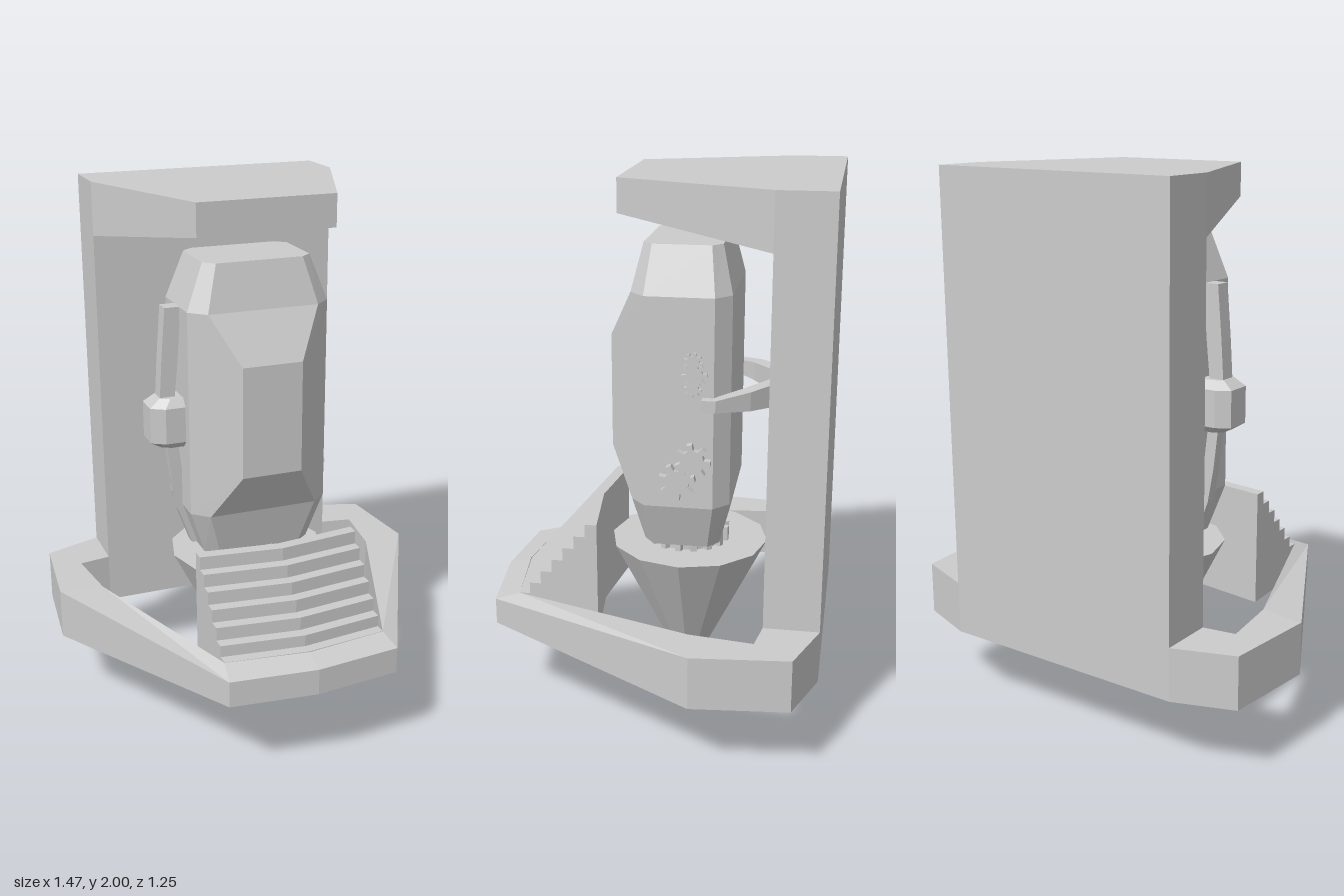
import * as THREE from 'three';

const material = new THREE.MeshStandardMaterial({ color: 0xcccccc, flatShading: true });

function part(group, name, geometry) {
  const mesh = new THREE.Mesh(geometry, material);
  mesh.name = name;
  group.add(mesh);
  return mesh;
}

// Skins a row of closed loops, each counter-clockwise about the direction of travel.
function loft(sections, caps = true) {
  const pos = [];
  const tri = (a, b, c) => pos.push(...a, ...b, ...c);
  const n = sections[0].length;
  for (let s = 0; s + 1 < sections.length; s++) {
    const a = sections[s], b = sections[s + 1];
    for (let i = 0; i < n; i++) {
      const j = (i + 1) % n;
      tri(a[i], a[j], b[j]);
      tri(a[i], b[j], b[i]);
    }
  }
  if (caps) {
    const first = sections[0], last = sections[sections.length - 1];
    for (let i = 1; i + 1 < n; i++) {
      tri(first[0], first[i + 1], first[i]);
      tri(last[0], last[i], last[i + 1]);
    }
  }
  const g = new THREE.BufferGeometry();
  g.setAttribute('position', new THREE.Float32BufferAttribute(pos, 3));
  g.computeVertexNormals();
  return g;
}

// Flat toothed wheel lying in the xy plane.
function gear(radius, teeth, depth, root = 0.68, turn = 0) {
  const pts = [];
  for (let i = 0; i < teeth; i++) {
    for (const [f, r] of [[0, root], [0.42, root], [0.54, 1], [0.88, 1]]) {
      const a = ((i + f) / teeth) * Math.PI * 2 + turn;
      pts.push(new THREE.Vector2(Math.cos(a) * r * radius, Math.sin(a) * r * radius));
    }
  }
  return new THREE.ExtrudeGeometry(new THREE.Shape(pts), { depth, bevelEnabled: false });
}

// Horizontal octagon of the pod: front and side corners mirrored over x.
function podSection(y, frontX, frontZ, sideX, sideZ, backX, backZ, sideBackZ) {
  const half = [[frontX, y, frontZ], [sideX, y, sideZ], [sideX, y, sideBackZ], [backX, y, backZ]];
  return [...half, ...half.map(([x, h, z]) => [-x, h, z]).reverse()];
}

// Horizontal rectangle of a strap.
const strapSection = (y, x0, x1, z0, z1) => [[x1, y, z1], [x1, y, z0], [x0, y, z0], [x0, y, z1]];

export function createModel() {
  const model = new THREE.Group();
  model.name = 'podStation';

  // Back wall and overhanging canopy
  const wall = part(model, 'backWall', new THREE.BoxGeometry(0.96, 1.72, 0.2));
  wall.position.set(0, 1.14, -0.53);
  const canopySection = (x, z, low) => [[-x, low, z], [x, low, z], [x, 2, z], [-x, 2, z]];
  part(model, 'canopy', loft([canopySection(0.48, -0.43, 1.8), canopySection(0.26, 0.12, 1.88)]));

  // Base frame: outer x, outer z, inner x, inner z, outer top, inner top, outer bottom, inner bottom
  const frame = [
    [0.48, -0.63, 0.48, -0.43, 0.475, 0.475, 0.28, 0.28],
    [0.70, -0.55, 0.60, -0.41, 0.475, 0.475, 0.28, 0.28],
    [0.735, -0.2, 0.57, -0.18, 0.475, 0.475, 0.28, 0.28],
    [0.325, 0.59, 0.31, 0.5, 0.43, 0.455, 0.33, 0.323],
    [0, 0.625, 0, 0.54, 0.43, 0.455, 0.33, 0.325],
  ];
  const around = [...frame, ...frame.slice(0, -1).reverse().map((p) => [-p[0], p[1], -p[2], ...p.slice(3)])];
  part(model, 'baseFrame', loft(around.map(([ox, oz, ix, iz, ot, it, ob, ib], i) => {
    const s = i < frame.length ? 1 : -1;
    const innerZ = s < 0 ? around[around.length - 1 - i][3] : iz;
    return [[ix, ib, innerZ], [ox, ob, oz], [ox, ot, oz], [ix, it, innerZ]];
  })));

  // Stairs, bent to a shallow chevron at the middle
  const steps = 6, tread = 0.043, rise = 0.05;
  const profile = [[0.2, 0.305], [0.5, 0.323], [0.5, 0.456], [0.46, 0.456]];
  for (let i = steps - 1; i >= 0; i--) {
    const z = 0.245 + i * tread, y = 0.75 - i * rise;
    profile.push([z, y], [i ? z - tread : 0.2, y]);
  }
  const stairs = new THREE.ExtrudeGeometry(
    new THREE.Shape(profile.map(([z, y]) => new THREE.Vector2(z, y))),
    { depth: 0.62, steps: 2, bevelEnabled: false });
  stairs.rotateY(-Math.PI / 2).translate(0.31, 0, 0);
  const p = stairs.attributes.position;
  for (let i = 0; i < p.count; i++) {
    p.setZ(i, p.getZ(i) + 0.037 * (1 - Math.abs(p.getX(i)) / 0.31));
  }
  stairs.computeVertexNormals();
  part(model, 'stairs', stairs);

  // Pointed pedestal and toothed turntable
  const cone = part(model, 'pedestalCone', new THREE.CylinderGeometry(0.3, 0, 0.6, 12));
  cone.position.set(0, 0.3, -0.1);
  const turntable = part(model, 'turntable', gear(0.158, 16, 0.06, 0.87).rotateX(-Math.PI / 2));
  turntable.position.set(0, 0.595, -0.095);

  // Faceted pod with a raised front
  part(model, 'pod', loft([
    podSection(0.65, 0.16, 0.045, 0.21, 0.005, 0.16, -0.235, -0.195),
    podSection(0.825, 0.21, 0.085, 0.27, 0.03, 0.21, -0.275, -0.22),
    podSection(1.0, 0.115, 0.175, 0.27, 0.03, 0.21, -0.275, -0.22),
    podSection(1.42, 0.115, 0.175, 0.27, 0.03, 0.21, -0.275, -0.22),
    podSection(1.6, 0.21, 0.085, 0.27, 0.03, 0.21, -0.275, -0.22),
    podSection(1.77, 0.165, 0.045, 0.205, 0.01, 0.165, -0.235, -0.2),
  ]));

  // Gears on the pod's left flank: y, z, radius, teeth, depth, turn
  const gears = [
    [1.01, -0.148, 0.066, 7, 0.032, 0.2], [0.93, -0.092, 0.068, 7, 0.032, 0.5],
    [1.375, -0.147, 0.034, 8, 0.018, 0], [1.325, -0.153, 0.046, 8, 0.018, 0.3], [1.277, -0.147, 0.032, 8, 0.018, 0.1],
  ];
  for (const [y, z, r, teeth, depth, turn] of gears) {
    const wheel = part(model, 'gear', gear(r, teeth, depth, 0.66, turn).rotateY(Math.PI / 2));
    wheel.position.set(0.267, y, z);
  }

  // Claw arms from the wall: outer x, outer z, inner x, inner z, half height
  const claw = loft([
    [0.12, -0.43, 0.02, -0.43, 0.043],
    [0.22, -0.345, 0.17, -0.32, 0.035],
    [0.305, -0.23, 0.27, -0.215, 0.022],
    [0.308, -0.18, 0.268, -0.18, 0.022],
  ].map(([ox, oz, ix, iz, h]) => [
    [ix, 1.223 - h, iz], [ox, 1.223 - h, oz], [ox, 1.223 + h, oz], [ix, 1.223 + h, iz]]));
  for (const side of [1, -1]) part(model, 'clawArm', claw).scale.x = side;

  // Junction box and its two straps on the pod's right flank
  const outline = [[-0.345, -0.01], [-0.26, -0.01], [-0.26, -0.165], [-0.345, -0.165], [-0.395, -0.135], [-0.395, -0.04]];
  const boxSection = (y, k) => outline.map(([x, z]) => [-0.26 + (x + 0.26) * k, y, -0.0875 + (z + 0.0875) * k]);
  part(model, 'junctionBox', loft([
    boxSection(1.075, 0.7), boxSection(1.1, 1), boxSection(1.235, 1), boxSection(1.265, 0.7)]));
  part(model, 'upperStrap', loft([
    strapSection(1.2, -0.355, -0.3, -0.12, -0.06),
    strapSection(1.4, -0.342, -0.28, -0.12, -0.06),
    strapSection(1.6, -0.325, -0.265, -0.12, -0.06)]));
  part(model, 'lowerStrap', loft([
    strapSection(0.66, -0.235, -0.2, -0.11, -0.07),
    strapSection(0.8, -0.285, -0.25, -0.11, -0.07),
    strapSection(0.93, -0.308, -0.265, -0.11, -0.07),
    strapSection(1.1, -0.328, -0.285, -0.11, -0.07)]));

  return model;
}
